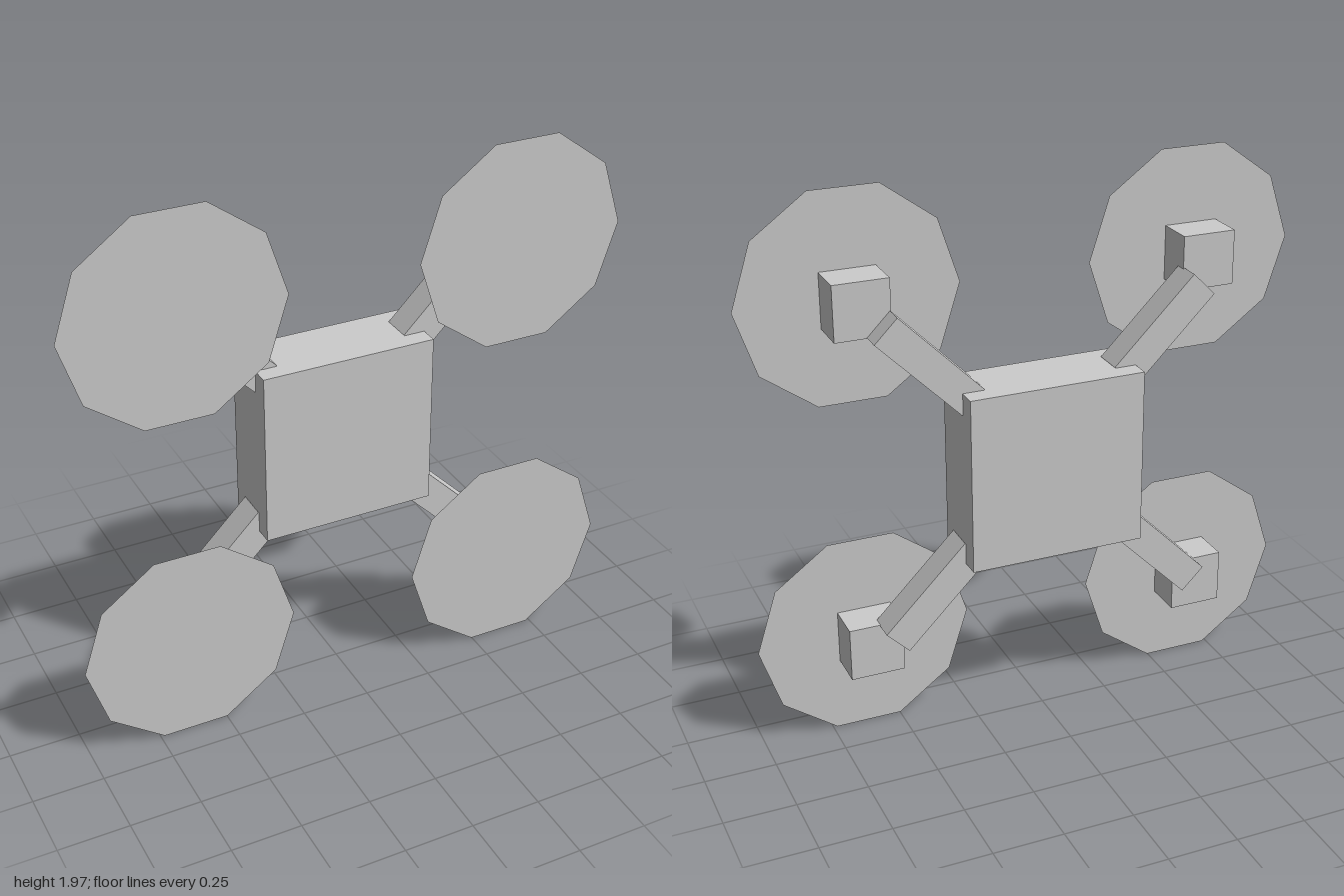
import * as THREE from 'three';

const CENTER_Y = 0.983;

export function createModel() {
  const model = new THREE.Group();
  model.name = 'quadcopter';
  const grey = new THREE.MeshStandardMaterial({ color: 0xcccccc });
  grey.name = 'light grey';
  // the rotor discs are flat sheets, visible from both sides
  const sheetGrey = grey;
  sheetGrey.side = THREE.DoubleSide;

  const add = (parent, name, geometry, x, y, z) => {
    const mesh = new THREE.Mesh(geometry, grey);
    mesh.name = name;
    mesh.position.set(x, y, z);
    parent.add(mesh);
    return mesh;
  };

  // central body
  add(model, 'body', new THREE.BoxGeometry(0.625, 0.625, 0.245), 0, CENTER_Y, -0.017);

  const armGeometry = new THREE.BoxGeometry(0.41, 0.113, 0.11);
  const motorGeometry = new THREE.BoxGeometry(0.192, 0.192, 0.138);
  const rotorGeometry = new THREE.CircleGeometry(0.383, 10);

  // one diagonal arm, motor block and ten-sided rotor disc per corner
  for (const sx of [-1, 1]) {
    for (const sy of [-1, 1]) {
      const unit = new THREE.Group();
      unit.name = `${sy > 0 ? 'upper' : 'lower'}${sx > 0 ? 'Left' : 'Right'}RotorUnit`;
      unit.position.y = CENTER_Y;
      const arm = add(unit, 'arm', armGeometry, sx * 0.42, sy * 0.42, -0.015);
      arm.rotation.z = sx * sy * Math.PI / 4;
      add(unit, 'motor', motorGeometry, sx * 0.617, sy * 0.619, 0.07);
      add(unit, 'rotorDisc', rotorGeometry, sx * 0.617, sy * 0.619, 0.14);
      model.add(unit);
    }
  }
  return model;
}
